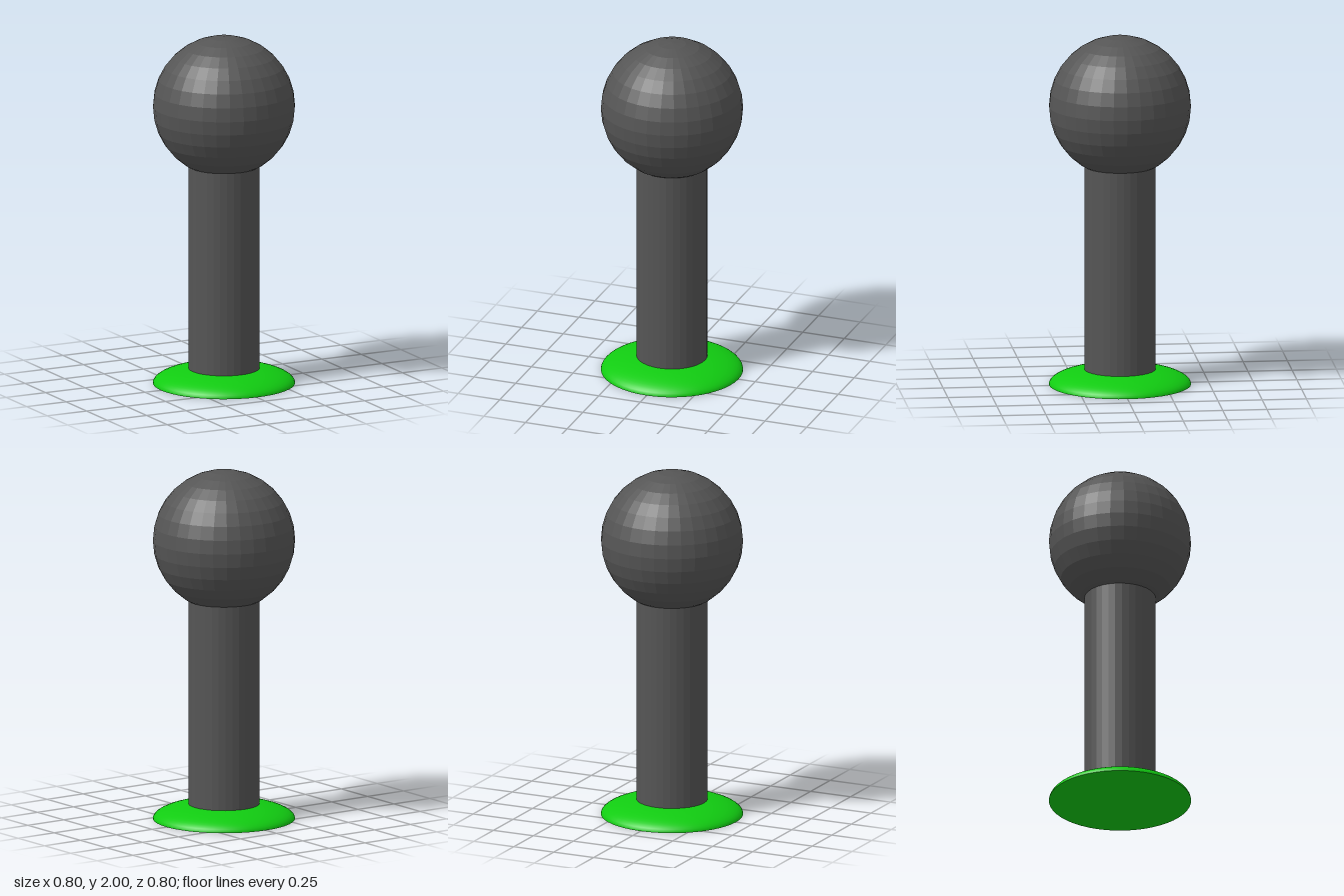
import * as THREE from 'three';

export function createModel() {
  const model = new THREE.Group();
  const grey = new THREE.MeshStandardMaterial({ color: 0x555555 });
  grey.name = 'dark grey';
  const green = new THREE.MeshStandardMaterial({ color: 0x11cc11 });
  green.name = 'green';

  const add = (name, geometry, material, y) => {
    const mesh = new THREE.Mesh(geometry, material);
    mesh.name = name;
    mesh.position.y = y;
    model.add(mesh);
    return mesh;
  };
  // Give every facet its own normal
  const facet = (geometry) => {
    const flat = geometry.toNonIndexed();
    flat.computeVertexNormals();
    return flat;
  };

  // Faceted ball on top of the post
  add('ball', facet(new THREE.SphereGeometry(0.4, 32, 16)), grey, 1.6);

  // Upright post, sunk into the ball and the base
  add('post', facet(new THREE.CylinderGeometry(0.2, 0.2, 1.28, 32)), grey, 0.66);

  // Flattened dome base with a flat underside
  const dome = new THREE.SphereGeometry(0.4, 48, 16, 0, Math.PI * 2, 0, Math.PI / 2);
  dome.scale(1, 0.25, 1);
  add('baseDome', dome, green, 0);
  const underside = new THREE.CircleGeometry(0.4, 48);
  underside.rotateX(Math.PI / 2);
  add('baseUnderside', underside, green, 0);

  return model;
}
